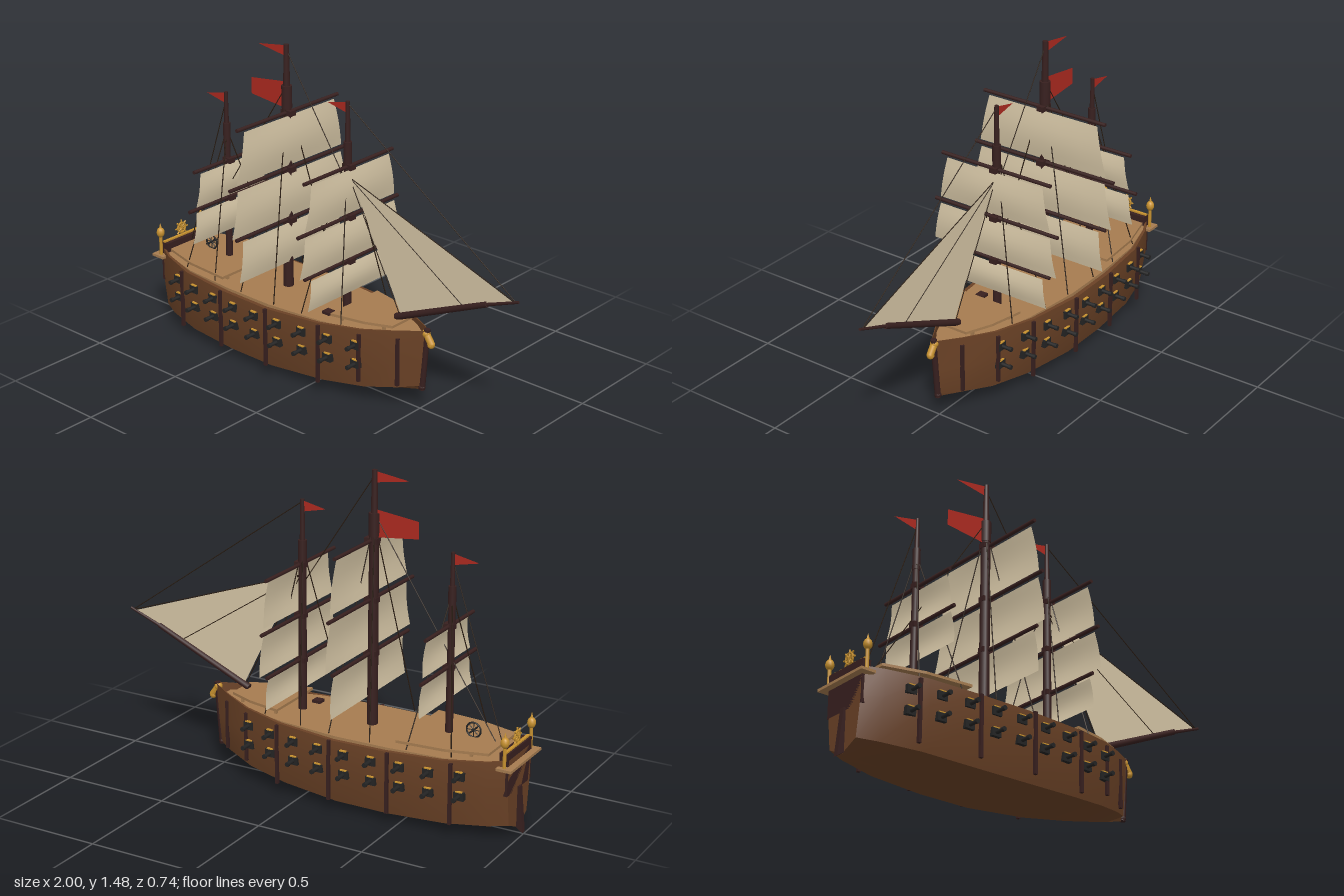
import * as THREE from 'three';
import { toCreasedNormals } from 'three/addons/utils/BufferGeometryUtils.js';

const mat = (name, color, extra = {}) => new THREE.MeshStandardMaterial({ name, color, ...extra });

// hull stations: x, half width, sheer y, chine y, keel y
const STATIONS = [
  [-0.97, 0.11, 0.37, 0.07, 0.03], [-0.89, 0.155, 0.362, 0.063, 0.024], [-0.71, 0.212, 0.353, 0.053, 0.014],
  [-0.45, 0.235, 0.346, 0.045, 0.006], [-0.2, 0.238, 0.344, 0.046, 0.006], [0.08, 0.205, 0.352, 0.062, 0.02],
  [0.28, 0.152, 0.366, 0.082, 0.045], [0.42, 0.08, 0.379, 0.104, 0.076], [0.505, 0.012, 0.39, 0.12, 0.1],
];

function halfWidth(x) {
  for (let i = 1; i < STATIONS.length; i++) {
    const a = STATIONS[i - 1], b = STATIONS[i];
    if (x <= b[0]) return a[1] + (b[1] - a[1]) * Math.max(0, (x - a[0]) / (b[0] - a[0]));
  }
  return 0.012;
}

function hullGeometry() {
  const pos = [], idx = [];
  STATIONS.forEach(([x, w, top, chine, keel], i) => {
    const half = [[w * 0.9, 0.32], [w * 0.9, top], [w * 0.98, top], [w, 0.24], [w * 0.8, chine]];
    const ring = [...half, [0, keel], ...half.slice().reverse().map(([z, y]) => [-z, y])];
    const rake = i === STATIONS.length - 1 ? 0.08 : 0;
    ring.forEach(([z, y]) => pos.push(x + rake * (y - 0.1), y, z));
  });
  const n = 11;
  for (let i = 0; i < STATIONS.length - 1; i++) for (let j = 0; j < n - 1; j++) {
    const a = i * n + j, b = a + n, c = a + 1, d = b + 1;
    idx.push(a, c, b, b, c, d);
  }
  const last = (STATIONS.length - 1) * n;
  for (let j = 3; j < n - 3; j++) {
    idx.push(2, j + 1, j);
    idx.push(last + 2, last + j, last + j + 1);
  }
  const g = new THREE.BufferGeometry();
  g.setAttribute('position', new THREE.Float32BufferAttribute(pos, 3));
  g.setIndex(idx);
  return toCreasedNormals(g, 0.45);
}

// deck slab that follows the hull outline between two x positions
function deckGeometry(x0, x1, scale, thick) {
  const xs = [x0, ...STATIONS.map((s) => s[0]).filter((x) => x > x0 && x < x1), x1];
  const edge = xs.map((x) => new THREE.Vector2(x, halfWidth(x) * scale));
  const shape = new THREE.Shape([...edge, ...edge.slice().reverse().map((p) => new THREE.Vector2(p.x, -p.y))]);
  return new THREE.ExtrudeGeometry(shape, { depth: thick, bevelEnabled: false }).rotateX(Math.PI / 2);
}

function polygon(points) {
  return new THREE.ShapeGeometry(new THREE.Shape(points.map(([x, y]) => new THREE.Vector2(x, y))));
}

export function createModel() {
  const ship = new THREE.Group();
  ship.name = 'sailingShip';
  const hullWood = mat('hull brown', 0x6b4226, { side: THREE.DoubleSide });
  const deckWood = mat('deck tan', 0xa67c50);
  const darkWood = mat('dark wood', 0x38201f);
  const iron = mat('iron', 0x242424);
  const gold = mat('gold', 0xc8922f);
  const canvas = mat('canvas', 0xd6c6a6, { side: THREE.DoubleSide });
  const red = mat('flag red', 0xae2a20, { side: THREE.DoubleSide });
  const rope = mat('rope', 0x2b1d12);

  const add = (name, geo, material, x = 0, y = 0, z = 0) => {
    const m = new THREE.Mesh(geo, material);
    m.name = name;
    m.position.set(x, y, z);
    ship.add(m);
    return m;
  };
  const box = (name, material, x, y, z, w, h, d) => add(name, new THREE.BoxGeometry(w, h, d), material, x, y, z);
  // round bar between two points
  const bar = (name, material, a, b, r0, r1 = r0, sides = 8) => {
    const p = new THREE.Vector3(...a), q = new THREE.Vector3(...b), dir = q.clone().sub(p);
    const m = add(name, new THREE.CylinderGeometry(r1, r0, dir.length(), sides), material);
    m.position.copy(p).add(q).multiplyScalar(0.5);
    m.quaternion.setFromUnitVectors(new THREE.Vector3(0, 1, 0), dir.normalize());
    return m;
  };
  const line = (a, b, r = 0.0022) => bar('rigging', rope, a, b, r, r, 5);

  // hull and decks
  add('hull', hullGeometry(), hullWood);
  add('mainDeck', deckGeometry(-0.95, 0.48, 0.88, 0.03), deckWood, 0, 0.355, 0);
  add('aftDeck', deckGeometry(-0.89, -0.49, 0.86, 0.012), deckWood, 0, 0.394, 0);
  add('foreDeck', deckGeometry(0.12, 0.4, 0.8, 0.012), deckWood, 0, 0.394, 0);
  for (const s of [-1, 1]) for (const x of [-0.8, -0.52, 0.15, 0.35])
    box('deckSupport', deckWood, x, 0.367, s * halfWidth(x) * 0.6, 0.012, 0.032, 0.012);
  box('hatch', darkWood, 0.06, 0.361, 0.1, 0.04, 0.014, 0.04);
  bar('stemPost', darkWood, [0.508, 0.1, 0], [0.53, 0.395, 0], 0.014);
  add('stemFoot', new THREE.SphereGeometry(0.016, 10, 8), darkWood, 0.508, 0.112, 0);

  for (const s of [-1, 1]) {
    // vertical side ribs
    for (const x of [-0.75, -0.47, -0.19, 0.09, 0.28, 0.43]) {
      const low = x > 0.2 ? 0.12 : 0.07;
      box('rib', darkWood, x, (low + 0.345) / 2, s * (halfWidth(x) + 0.002), 0.014, 0.345 - low, 0.014);
    }
    // two rows of guns
    for (let i = 0; i < 9; i++) for (const y of [0.2, 0.29]) {
      const x = -0.785 + i * 0.131, z = halfWidth(x) * (y < 0.25 ? 0.97 : 0.985);
      box('gunPort', iron, x, y, s * z, 0.046, 0.036, 0.022);
      box('portHinge', gold, x, y + 0.02, s * (z + 0.006), 0.03, 0.005, 0.012);
      bar('cannon', iron, [x, y, s * (z - 0.06)], [x, y, s * (z + 0.055)], 0.011, 0.008);
      bar('muzzle', iron, [x, y, s * (z + 0.045)], [x, y, s * (z + 0.06)], 0.0105);
    }
  }

  // stern gallery, lanterns, rudder
  box('sternBlock', darkWood, -0.95, 0.305, 0, 0.04, 0.19, 0.23);
  box('sternShelf', deckWood, -0.965, 0.338, 0, 0.07, 0.012, 0.3);
  box('sternRail', gold, -0.955, 0.402, 0, 0.014, 0.01, 0.23);
  for (const s of [-1, 1]) {
    bar('lanternPost', gold, [-0.96, 0.34, s * 0.13], [-0.96, 0.44, s * 0.13], 0.008);
    add('lantern', new THREE.SphereGeometry(0.019, 12, 8), gold, -0.96, 0.455, s * 0.13).scale.y = 1.3;
    bar('lanternTip', gold, [-0.96, 0.475, s * 0.13], [-0.96, 0.5, s * 0.13], 0.007, 0.001);
  }
  add('sternRing', new THREE.TorusGeometry(0.024, 0.005, 6, 16), gold, -0.955, 0.44, 0).rotation.y = Math.PI / 2;
  for (let i = 0; i < 4; i++) {
    const a = i * Math.PI / 4, y = Math.sin(a) * 0.038, z = Math.cos(a) * 0.038;
    bar('sternRay', gold, [-0.955, 0.44 - y, -z], [-0.955, 0.44 + y, z], 0.004);
  }
  const rudder = new THREE.Shape([[-0.965, 0.22], [-0.98, 0.22], [-1, 0.012], [-0.965, 0.035]].map((p) => new THREE.Vector2(...p)));
  add('rudder', new THREE.ExtrudeGeometry(rudder, { depth: 0.024, bevelEnabled: false }), darkWood, 0, 0, -0.012);

  // steering wheel
  add('wheelRim', new THREE.TorusGeometry(0.033, 0.004, 6, 20), iron, -0.755, 0.425, 0);
  for (let i = 0; i < 4; i++) {
    const a = i * Math.PI / 4, x = Math.cos(a) * 0.036, y = Math.sin(a) * 0.036;
    bar('wheelSpoke', iron, [-0.755 - x, 0.425 - y, 0], [-0.755 + x, 0.425 + y, 0], 0.002);
  }
  bar('wheelAxle', iron, [-0.755, 0.425, -0.035], [-0.755, 0.425, 0.035], 0.004);

  // figurehead
  const body = add('figureheadBody', new THREE.CapsuleGeometry(0.016, 0.045, 6, 12), gold, 0.542, 0.35, 0);
  body.rotation.z = 0.6;
  add('figureheadHead', new THREE.SphereGeometry(0.019, 12, 8), gold, 0.525, 0.374, 0);
  add('figureheadBase', new THREE.SphereGeometry(0.017, 12, 8), gold, 0.553, 0.328, 0);

  // masts: x, joint y, top y, radius, pennant length, sails [yard y, yard half, top half, bottom y, bottom half]
  const masts = [
    [-0.64, 1.04, 1.185, 0.017, 0.12, [[0.865, 0.22, 0.19, 0.7, 0.22], [0.685, 0.255, 0.22, 0.53, 0.245]]],
    [-0.27, 1.3, 1.485, 0.024, 0.165, [[1.18, 0.32, 0.285, 0.94, 0.335], [0.92, 0.37, 0.33, 0.697, 0.37], [0.68, 0.335, 0.305, 0.48, 0.33]]],
    [0.08, 1.13, 1.31, 0.019, 0.115, [[1.02, 0.285, 0.25, 0.81, 0.29], [0.79, 0.325, 0.29, 0.6, 0.325], [0.585, 0.285, 0.255, 0.435, 0.275]]],
  ];
  for (const [x, joint, top, r, flag, sails] of masts) {
    bar('lowerMast', darkWood, [x, 0.33, 0], [x, joint, 0], r, r * 0.85, 12);
    bar('topMast', darkWood, [x, joint - 0.02, 0], [x, top, 0], r * 0.65, r * 0.5, 10);
    bar('mastCap', darkWood, [x, joint - 0.1, 0], [x, joint, 0], r, r, 12);
    add('pennant', polygon([[x, top - 0.005], [x - flag, top - 0.03], [x, top - 0.055]]), red);
    for (const [y, yard, w0, y1, w1] of sails) {
      bar('yard', darkWood, [x + 0.008, y, -yard], [x + 0.008, y, yard], 0.0085);
      box('yardSling', darkWood, x + 0.008, y, 0, r * 2 + 0.012, 0.024, 0.035);
      // gently bellied square sail
      const g = new THREE.PlaneGeometry(2, 1, 6, 6).rotateY(Math.PI / 2);
      const p = g.attributes.position, y0 = y - 0.012;
      for (let i = 0; i < p.count; i++) {
        const t = 0.5 - p.getY(i), u = p.getZ(i);
        p.setXYZ(i, x + 0.018 + 0.014 * Math.sin(Math.PI * t) * (1 - u * u * 0.5), y0 + (y1 - y0) * t, u * (w0 + (w1 - w0) * t));
      }
      g.computeVertexNormals();
      add('squareSail', g, canvas);
    }
    // shrouds
    for (const s of [-1, 1]) for (const d of [-0.1, 0.1])
      line([x, joint - 0.03, 0], [x + d, 0.36, s * halfWidth(x + d) * 0.87], 0.0026);
  }
  add('banner', polygon([[-0.285, 1.315], [-0.48, 1.29], [-0.48, 1.215], [-0.285, 1.195]]), red);

  // bowsprit and jib
  bar('bowsprit', darkWood, [0.36, 0.4, 0], [0.84, 0.61, 0], 0.016, 0.013, 10);
  bar('jibBoom', darkWood, [0.82, 0.601, 0], [0.997, 0.668, 0], 0.008, 0.006);
  add('jib', polygon([[0.105, 0.965], [0.385, 0.415], [0.97, 0.66]]), canvas);

  // stays along the centre line
  line([0.08, 1.3, 0], [0.98, 0.665, 0]);
  line([0.09, 0.97, 0], [0.97, 0.665, 0]);
  line([0.09, 0.97, 0], [0.72, 0.56, 0]);
  line([0.09, 0.97, 0], [0.38, 0.41, 0]);
  line([-0.27, 1.46, 0], [0.08, 0.93, 0]);
  line([-0.27, 1.3, 0], [-0.86, 0.39, 0]);
  line([-0.64, 1.15, 0], [-0.89, 0.39, 0]);
  return ship;
}
